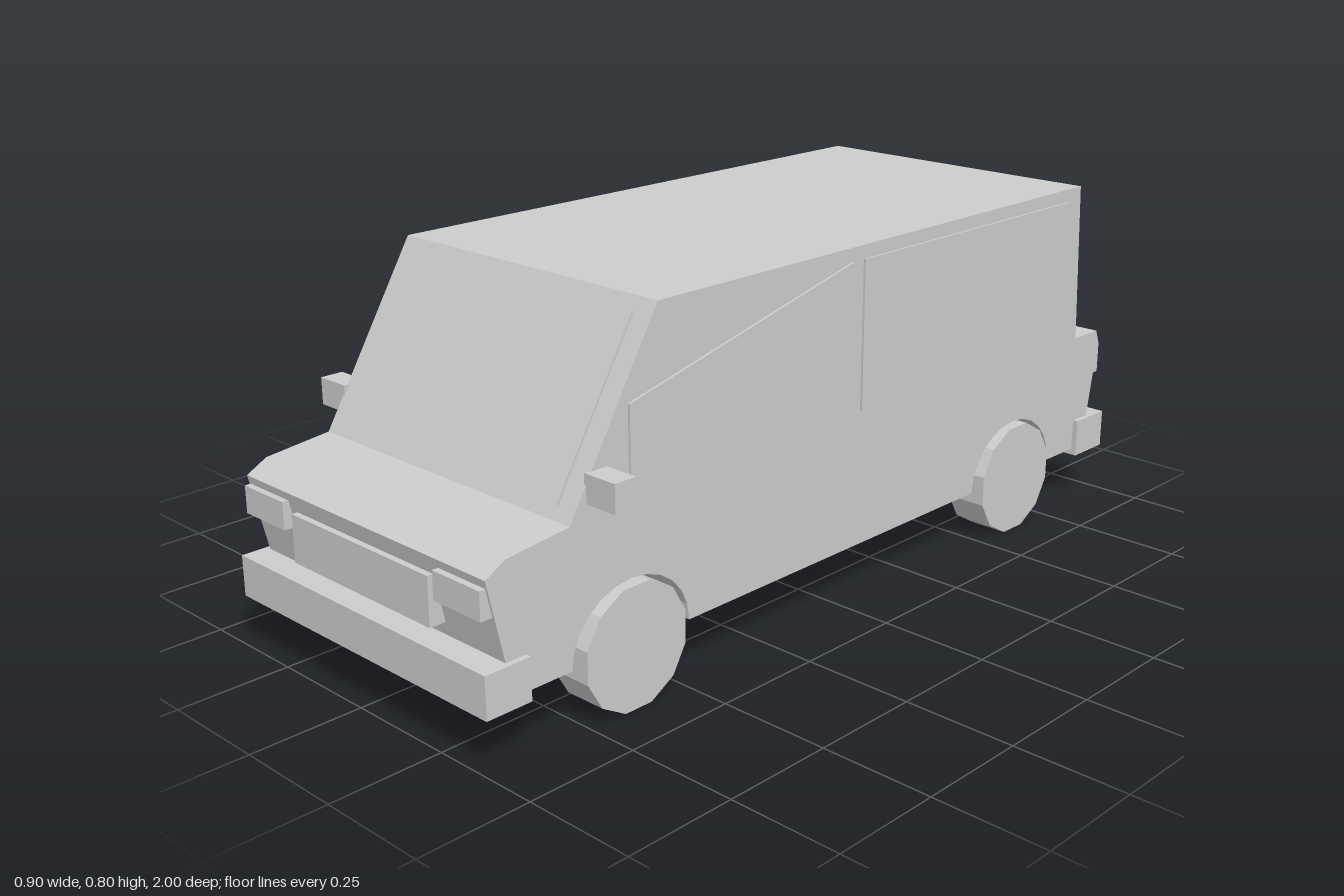
import * as THREE from 'three';

const bodyGrey = new THREE.MeshStandardMaterial({ color: 0xcccccc });
bodyGrey.name = 'bodyGrey';
bodyGrey.flatShading = true;

export function createModel() {
  const van = new THREE.Group();
  van.name = 'van';

  const add = (name, geometry, x = 0, y = 0, z = 0) => {
    const mesh = new THREE.Mesh(geometry, bodyGrey);
    mesh.name = name;
    mesh.position.set(x, y, z);
    van.add(mesh);
    return mesh;
  };

  // Box given by its limits on each axis
  const addBox = (name, x0, x1, y0, y1, z0, z1) =>
    add(name, new THREE.BoxGeometry(x1 - x0, y1 - y0, z1 - z0),
      (x0 + x1) / 2, (y0 + y1) / 2, (z0 + z1) / 2);

  // Side profile of [z, y] points, extruded across the width and centred on x = 0
  const slab = (points, width) => {
    const shape = new THREE.Shape(points.map(([z, y]) => new THREE.Vector2(z, y)));
    const geometry = new THREE.ExtrudeGeometry(shape, { depth: width, bevelEnabled: false });
    return geometry.rotateY(-Math.PI / 2).translate(width / 2, 0, 0);
  };

  const floorY = 0.13;
  const axles = { front: 0.628, rear: -0.624 };

  // Wheel arch cut into the lower edge of the body, front to back
  const arch = (centre) => Array.from({ length: 13 }, (_, i) => {
    const a = (i / 12) * Math.PI;
    return [centre + 0.155 * Math.cos(a), floorY + 0.14 * Math.sin(a)];
  });

  // Body shell
  add('body', slab([
    [0.55, 0.8], [0.78, 0.42], [0.933, 0.404], [0.98, 0.378], [0.94, 0.2], [0.92, floorY],
    ...arch(axles.front), ...arch(axles.rear),
    [-0.93, floorY], [-0.945, 0.2], [-0.98, 0.39], [-0.968, 0.42], [-0.875, 0.42], [-0.855, 0.8],
  ], 0.75));

  // Windscreen plate lying on the sloped front
  const slopeZ = (y) => 0.78 - 0.605 * (y - 0.42);
  const [nz, ny] = [0.0043, 0.0026];
  add('windscreen', slab([
    [slopeZ(0.443), 0.443], [slopeZ(0.443) + nz, 0.443 + ny],
    [slopeZ(0.773) + nz, 0.773 + ny], [slopeZ(0.773), 0.773],
  ], 0.656));

  // Bumpers and grille
  addBox('frontBumper', -0.388, 0.388, 0.115, 0.205, 0.893, 1);
  addBox('rearBumper', -0.388, 0.388, 0.115, 0.205, -1, -0.888);
  addBox('grille', -0.215, 0.215, 0.236, 0.34, 0.93, 0.985);

  // Parts mirrored on both sides
  const frontWindow = [[-0.01, 0.44], [0.63, 0.44], [0.63, 0.62], [-0.01, 0.77]];
  const rearWindow = [[-0.82, 0.44], [-0.047, 0.44], [-0.047, 0.77], [-0.805, 0.77]];
  for (const [side, s] of [['left', 1], ['right', -1]]) {
    const mirrorBox = (name, x0, x1, ...rest) =>
      addBox(side + name, Math.min(s * x0, s * x1), Math.max(s * x0, s * x1), ...rest);

    add(side + 'FrontWindow', slab(frontWindow, 0.006), s * 0.377);
    add(side + 'RearWindow', slab(rearWindow, 0.006), s * 0.377);
    mirrorBox('Mirror', 0.37, 0.452, 0.452, 0.512, 0.685, 0.738);
    mirrorBox('Headlight', 0.237, 0.37, 0.3, 0.36, 0.93, 0.99);
    mirrorBox('TailLight', 0.25, 0.372, 0.31, 0.387, -0.987, -0.94);

    // Twelve-sided wheels resting on a flat facet
    for (const [end, z] of Object.entries(axles)) {
      const wheel = new THREE.CylinderGeometry(0.1346, 0.1346, 0.097, 12);
      wheel.rotateY(Math.PI / 12).rotateZ(Math.PI / 2);
      add(side + (end === 'front' ? 'FrontWheel' : 'RearWheel'), wheel, s * 0.3415, 0.13, z);
    }
  }

  // Axle beams between the wheels
  for (const [end, z] of Object.entries(axles)) {
    addBox(end + 'Axle', -0.295, 0.295, 0.107, 0.2, z - 0.04, z + 0.04);
  }

  return van;
}
